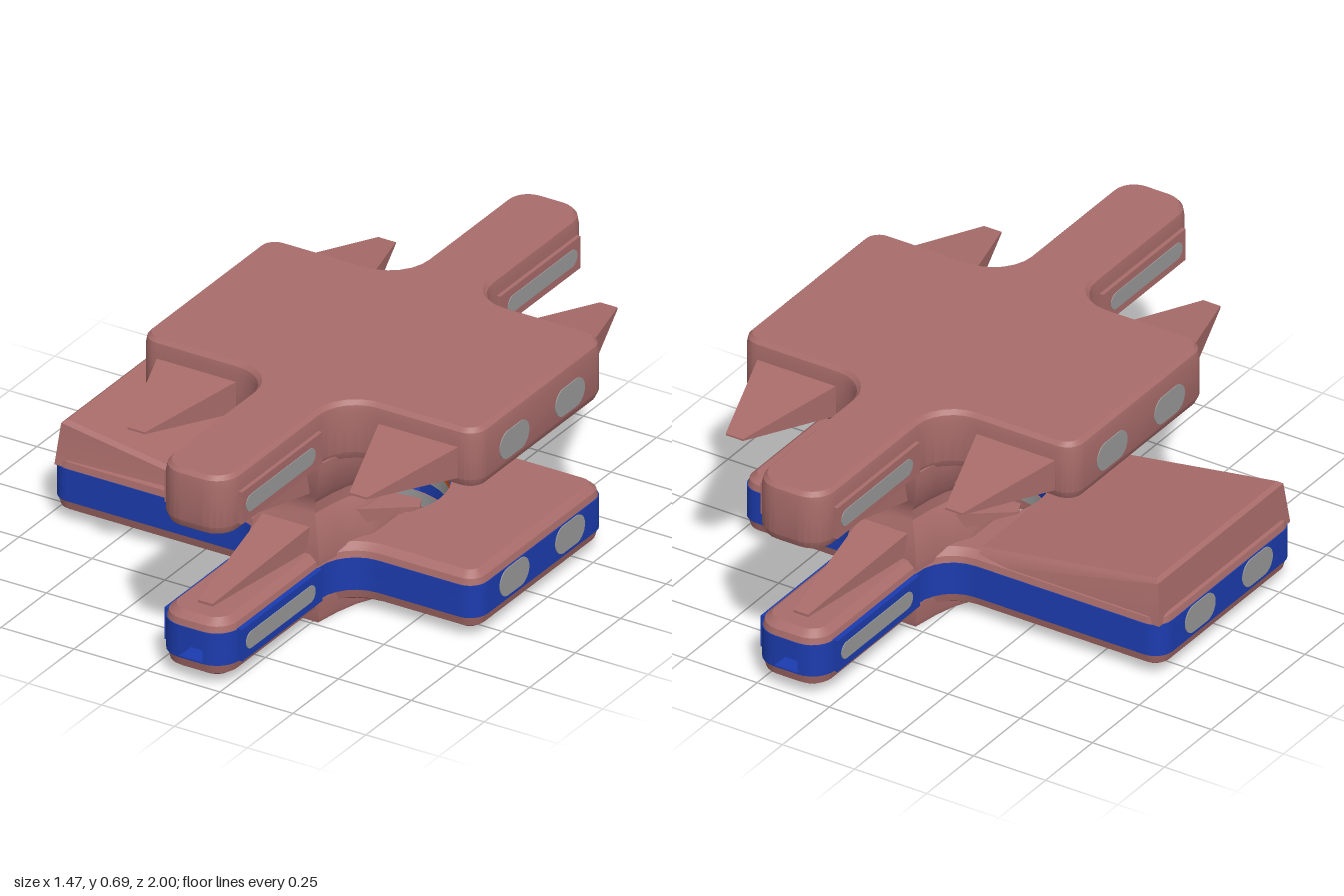
import * as THREE from 'three';
import { toCreasedNormals } from 'three/addons/utils/BufferGeometryUtils.js';

const mat = (color) => new THREE.MeshStandardMaterial({ color });
const pink = mat(0xa86c6a), blue = mat(0x1c3cae), grey = mat(0x999999), black = mat(0x151515), orange = mat(0xd8581c);
const CX = 0.15, HOLE = 0.23;

const arc = (cx, cz, r, a0, a1, n = 6) => Array.from({ length: n + 1 }, (_, i) => {
  const a = (a0 + (a1 - a0) * i / n) * Math.PI / 180;
  return [cx + r * Math.cos(a), cz + r * Math.sin(a)];
});

// Right half of the cross-shaped deck plan, e = half width of the body, i = inset
function halfPlan(e, i) {
  const q = [
    ...arc(0.04, 0.92, 0.08 - i, 90, 0),
    ...arc(0.24, 0.478, 0.12 + i, 180, 270),
    ...arc(e - 0.06, 0.298, 0.06 - i, 90, 0),
  ];
  return [...q, ...q.map(([x, z]) => [x, -z]).reverse()];
}
const flipX = (pts) => pts.map(([x, z]) => [-x, z]).reverse();
const plan = (eR, eL, i) => [...halfPlan(eR, i), ...flipX(halfPlan(eL, i))];

// Solid from stacked rings [[points, height], ...]; height may depend on x; optional shared hole
function loft(rings, hole) {
  const pos = [];
  const at = ([x, z], y) => [x, typeof y === 'function' ? y(x) : y, z];
  const wall = (a, ya, b, yb, flip) => a.forEach((_, j) => {
    const k = (j + 1) % a.length;
    const A = at(a[j], ya), B = at(a[k], ya), C = at(b[k], yb), D = at(b[j], yb);
    pos.push(...(flip ? [B, A, D, B, D, C] : [A, B, C, A, C, D]).flat());
  });
  for (let r = 0; r + 1 < rings.length; r++) {
    const [[a, ya], [b, yb]] = [rings[r], rings[r + 1]];
    wall(a, ya, b, yb, false);
    if (hole) wall(hole, ya, hole, yb, true);
  }
  const cap = ([pts, y], up) => {
    const v = (p) => new THREE.Vector2(...p);
    const all = [...pts, ...(hole || [])];
    for (const t of THREE.ShapeUtils.triangulateShape(pts.map(v), hole ? [hole.map(v)] : [])) {
      const [a, b, c] = t.map((n) => all[n]);
      const facesDown = (b[0] - a[0]) * (c[1] - a[1]) - (b[1] - a[1]) * (c[0] - a[0]) > 0;
      pos.push(...(facesDown === up ? [a, c, b] : [a, b, c]).flatMap((p) => at(p, y)));
    }
  };
  cap(rings[0], false);
  cap(rings[rings.length - 1], true);
  const g = new THREE.BufferGeometry();
  g.setAttribute('position', new THREE.Float32BufferAttribute(pos, 3));
  return toCreasedNormals(g, 0.45);
}

// Tapered blade pointing along +z from its base
function spike(bw, bh, tw, th, len, dy) {
  const g = new THREE.BoxGeometry(1, 1, 1).toNonIndexed(), p = g.attributes.position, mix = THREE.MathUtils.lerp;
  for (let i = 0; i < p.count; i++) {
    const t = p.getZ(i) + 0.5;
    p.setXYZ(i, p.getX(i) * mix(bw, tw, t), p.getY(i) * mix(bh, th, t) + dy * t, t * len);
  }
  g.computeVertexNormals();
  return g;
}

// Flat capsule-shaped plate lying in the side plane
function capsule(len, h) {
  const s = new THREE.Shape(), r = h / 2, d = len / 2 - r;
  s.absarc(d, 0, r, -Math.PI / 2, Math.PI / 2);
  s.absarc(-d, 0, r, Math.PI / 2, Math.PI * 1.5);
  return new THREE.ExtrudeGeometry(s, { depth: 0.02, bevelEnabled: false, curveSegments: 10 })
    .translate(0, 0, -0.01).rotateY(Math.PI / 2);
}

export function createModel() {
  const model = new THREE.Group();
  const body = new THREE.Group();
  body.name = 'body';
  body.position.x = CX;
  model.add(body);
  const add = (name, geo, material, x = 0, y = 0, z = 0, ry = 0) => {
    const m = new THREE.Mesh(geo, material);
    m.name = name;
    m.position.set(x, y, z);
    m.rotation.y = ry;
    body.add(m);
    return m;
  };
  const E = 0.58, EL = 0.885;
  const hole = arc(0, 0, HOLE, 0, -360, 40).slice(0, -1).reverse();

  // Upper deck
  const up = (i) => plan(E, E, i);
  add('upperDeck', loft([[up(0.04), 0.49], [up(0.012), 0.505], [up(0), 0.53], [up(0), 0.66], [up(0.004), 0.682], [up(0.016), 0.695]]), pink);
  add('upperDeckUnderside', new THREE.CylinderGeometry(0.22, 0.22, 0.01, 40), black, 0, 0.488);

  // Lower deck: bottom shell, coloured band, top shell
  const low = (i) => plan(E, EL, i);
  add('lowerDeckBottom', loft([[low(0.035), 0.03], [low(0.012), 0.045], [low(0.003), 0.075]], hole), pink);
  add('lowerDeckTop', loft([[low(0.003), 0.18], [low(0.008), 0.2], [low(0.03), 0.22]], hole), pink);
  add('bandBottom', loft([[low(0), 0.075], [low(0), 0.08]], hole), blue);
  add('bandTop', loft([[low(0), 0.12], [low(0), 0.18]], hole), blue);

  // Middle of the band, split by a narrow square channel running front to back
  const bandHalf = (e) => {
    const outer = halfPlan(e, 0).map(([x, z]) => [Math.max(x, 0.02), z]);
    return [...outer, ...arc(0, 0, HOLE, -85, 85, 20)];
  };
  add('bandMiddleLeft', loft([[bandHalf(E), 0.08], [bandHalf(E), 0.12]]), blue);
  add('bandMiddleRight', loft([[flipX(bandHalf(EL)), 0.08], [flipX(bandHalf(EL)), 0.12]]), blue);

  // Lining of the central opening
  const ring = (name, y0, y1, material) => {
    const m = material.clone();
    m.side = THREE.DoubleSide;
    add(name, new THREE.CylinderGeometry(0.226, 0.226, y1 - y0, 40, 1, true), m, 0, (y0 + y1) / 2);
  };
  ring('openingLining', 0.12, 0.165, grey);
  ring('openingStripe', 0.165, 0.19, orange);
  ring('openingLip', 0.035, 0.08, grey);

  // Sloped block on the wide side of the lower deck
  const rect = (x0, x1, z) => [[x0, z], [x1, z], [x1, -z], [x0, -z]];
  const slope = (drop) => (x) => 0.22 + (-0.18 - x) * 0.156 - drop;
  add('wedge', loft([
    [rect(-0.872, -0.24, 0.35), 0.18],
    [rect(-0.858, -0.24, 0.335), slope(0.012)],
    [rect(-0.845, -0.24, 0.322), slope(0)],
  ]), pink);

  // Waisted columns and feet, hollowed by the central opening
  const side = [[0.12, 0.49], [0.135, 0.4], [0.155, 0.33], [0.18, 0.28]];
  const section = (s) => [...flipX(side), ...side, ...arc(0, 0, HOLE, 38.5, 141.5, 10)]
    .map(([x, z]) => [x * s, 0.3 + (z - 0.3) * (1 + (s - 1) * 0.6)]);
  const column = loft([[0.19, 1], [0.225, 1], [0.31, 0.85], [0.34, 0.74], [0.375, 0.74], [0.405, 0.85], [0.485, 1], [0.52, 1]]
    .map(([y, s]) => [section(s), y]));
  const foot = loft([[section(0.97), 0], [section(1), 0.015], [section(1), 0.075]]);

  const deckSpike = spike(0.28, 0.105, 0.06, 0.006, 0.345, 0.002);
  const armBlock = new THREE.BoxGeometry(0.04, 0.105, 0.44);
  const armPad = capsule(0.38, 0.055), sidePad = capsule(0.16, 0.09);

  for (const s of [1, -1]) {
    const turn = s > 0 ? 0 : Math.PI;
    add('column', column, pink, 0, 0, 0, turn);
    add('foot', foot, pink, 0, 0, 0, turn);

    // Long blades along the arms and short blades beside the columns
    for (const v of [1, -1]) {
      add('armBlade', spike(0.17, 0.08, 0.05, 0.008, 0.48, v * 0.037), pink, 0, 0.355 + v * 0.09, s * 0.44, turn);
      const sideBlade = spike(0.16, 0.06, 0.05, 0.006, 0.2, v * -0.018);
      for (const x of [1, -1])
        add('sideBlade', sideBlade, pink, x * 0.09, 0.355 + v * 0.082, s * 0.255,
          Math.atan2(x * 0.9, -s * 0.43));
    }

    for (const x of [1, -1]) {
      add('deckSpike', deckSpike, pink, x * 0.38, 0.5825, s * 0.345, turn);
      // Side blocks on the arms with inset plates
      for (const [y, m, e] of [[0.5825, pink, E], [0.13, blue, x > 0 ? E : EL]]) {
        add('armSideBlock', armBlock, m, x * 0.113, y, s * 0.71);
        add('armPlate', armPad, grey, x * 0.1255, y, s * 0.72);
        add('sidePlate', sidePad, grey, x * (e - 0.007), y + 0.002, s * 0.153);
      }
    }
  }
  return model;
}
